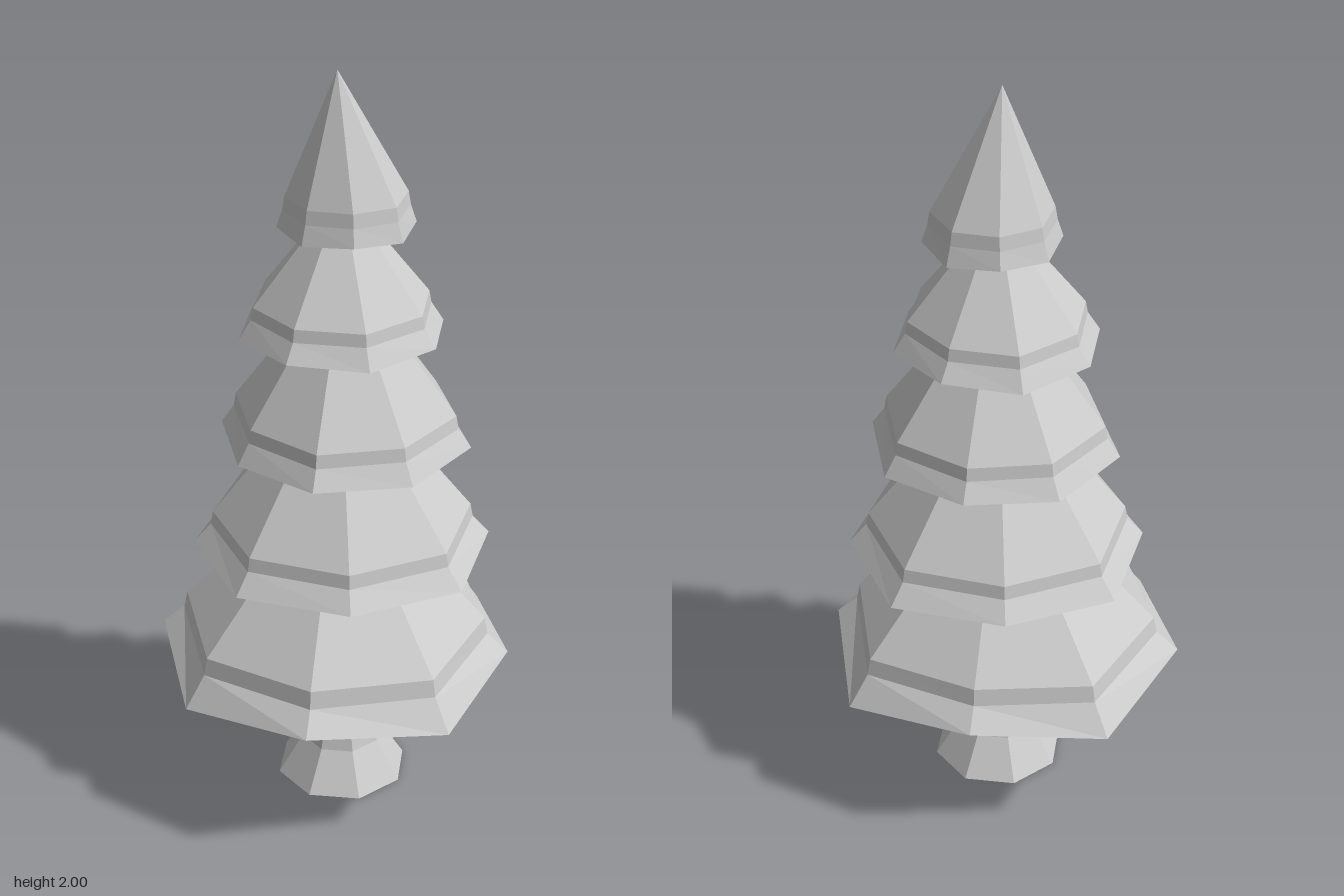
import * as THREE from 'three';

const needles = new THREE.MeshStandardMaterial({ color: 0xcccccc, flatShading: true });
const bark = new THREE.MeshStandardMaterial({ color: 0xcccccc, flatShading: true, side: THREE.DoubleSide });

// Eight-sided faceted shell from a [radius, height] profile running bottom to top.
// turn: degrees from +x towards +z of the first corner; bend(position, i, ring, corner) adjusts a vertex.
function faceted(name, material, profile, turn, x, z, bend) {
  const points = profile.map(([r, y]) => new THREE.Vector2(r, y));
  const geometry = new THREE.LatheGeometry(points, 8, -THREE.MathUtils.degToRad(turn));
  const position = geometry.attributes.position;
  if (bend) {
    for (let i = 0; i < position.count; i++) {
      bend(position, i, i % points.length, Math.floor(i / points.length) % 8);
    }
  }
  geometry.computeVertexNormals();
  const mesh = new THREE.Mesh(geometry, material);
  mesh.name = name;
  mesh.position.set(x, 0, z);
  return mesh;
}

// Bough layers, lowest first: rim, lower and upper edge of the step as [radius, height],
// then tip height, hollow height underneath, turn, centre, raise of every other corner,
// and how far each corner reaches out, starting at the front and going round by the left.
const tiers = [
  { rim: [0.487, 0.372], low: [0.428, 0.455], high: [0.418, 0.502], tip: 0.955, hollow: 0.61, turn: 0, x: 0, z: 0, lift: 0.043,
    reach: [1, 1, 1, 0.95, 1, 0.91, 1, 1] },
  { rim: [0.405, 0.722], low: [0.36, 0.778], high: [0.353, 0.814], tip: 1.245, hollow: 0.9, turn: -13, x: 0.004, z: -0.005, lift: 0.008,
    reach: [0.98, 0.99, 1.01, 0.975, 1, 0.95, 0.99, 0.95] },
  { rim: [0.322, 1.028], low: [0.289, 1.083], high: [0.283, 1.118], tip: 1.51, hollow: 1.19, turn: 4, x: 0.013, z: -0.01, lift: 0.008,
    reach: [0.97, 1.03, 1, 1.03, 1, 0.96, 0.98, 1.02] },
  { rim: [0.266, 1.328], low: [0.233, 1.38], high: [0.227, 1.412], tip: 1.7, hollow: 1.47, turn: 21, x: 0.01, z: -0.005, lift: 0.008,
    reach: [1, 1, 1, 1, 1, 0.97, 1, 1] },
  { rim: [0.175, 1.603], low: [0.16, 1.653], high: [0.154, 1.688], tip: 2, hollow: 1.72, turn: -16, x: 0.018, z: -0.01, lift: 0.008,
    reach: [0.97, 0.97, 1, 1, 1, 0.98, 0.97, 0.97] },
];

export function createModel() {
  const tree = new THREE.Group();
  tree.name = 'pineTree';

  // Flared trunk, open at the foot
  const trunk = [[0.18, 0], [0.112, 0.11], [0.08, 0.24], [0.067, 0.38], [0.06, 0.66]];
  tree.add(faceted('trunk', bark, trunk, 20, 0.008, -0.006));

  // Stacked boughs with uneven corners
  tiers.forEach((t, n) => {
    const profile = [[0, t.hollow], t.rim, t.low, t.high, [0, t.tip]];
    tree.add(faceted(`boughTier${n + 1}`, needles, profile, t.turn, t.x, t.z, (position, i, ring, corner) => {
      const out = t.reach[corner];
      position.setX(i, position.getX(i) * out);
      position.setZ(i, position.getZ(i) * out);
      const raise = [0, 1, 0.3, 0.3, 0][ring] * t.lift * (corner % 2);
      position.setY(i, position.getY(i) + raise);
      // The treetop leans slightly forward
      if (ring === 4 && n === tiers.length - 1) position.setZ(i, 0.025);
    }));
  });

  return tree;
}
